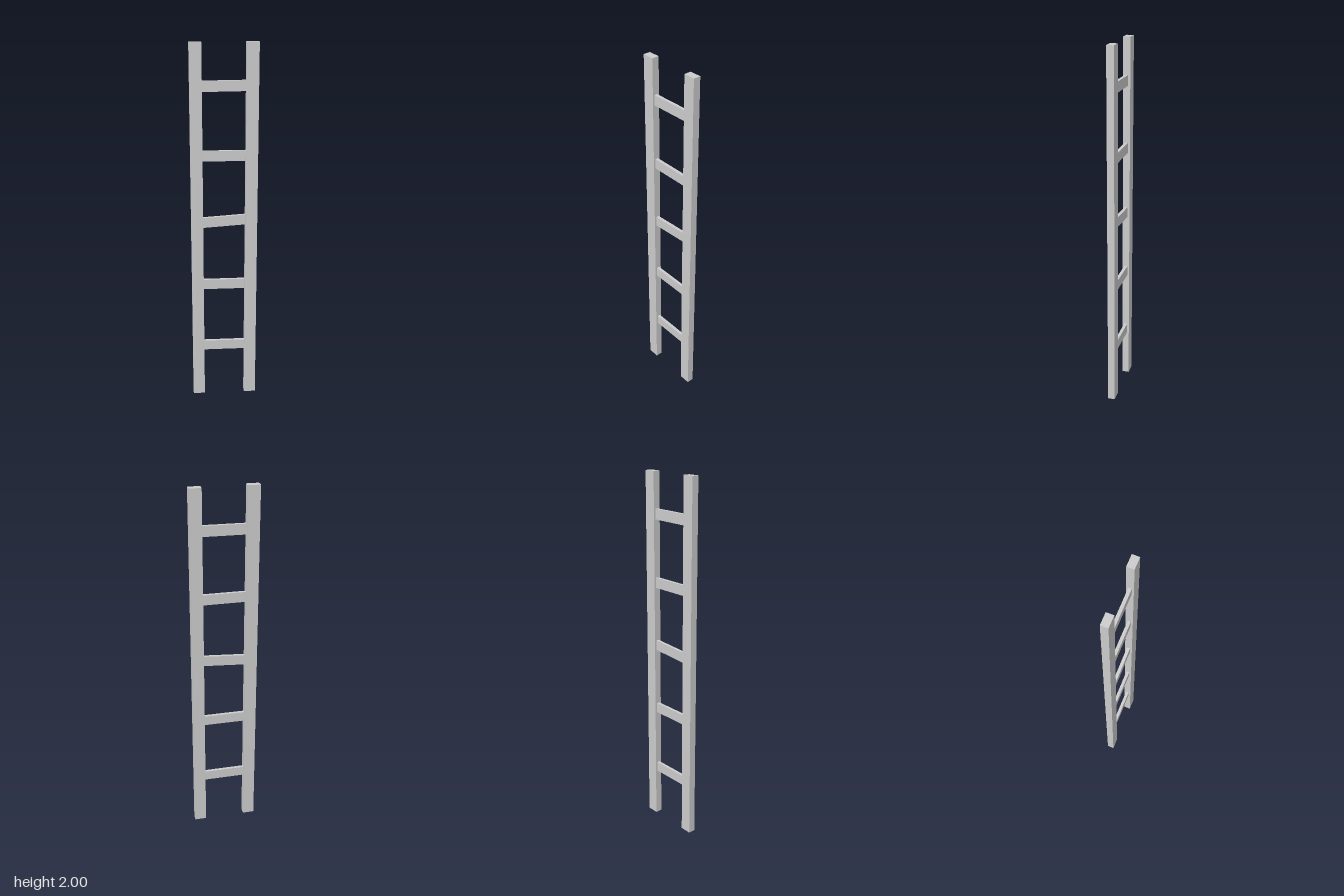
import * as THREE from 'three';

export function createModel() {
  const model = new THREE.Group();
  const material = new THREE.MeshStandardMaterial({ color: 0xcccccc, flatShading: true });

  const addBoard = (name, w, h, d, x, y, z) => {
    const mesh = new THREE.Mesh(new THREE.BoxGeometry(w, h, d), material);
    mesh.name = name;
    mesh.position.set(x, y, z);
    model.add(mesh);
    return mesh;
  };

  // Upright rails, leaning very slightly out of true
  for (const [name, x] of [['rightRail', -0.148], ['leftRail', 0.146]]) {
    const rail = addBoard(name, 0.065, 2, 0.039, x, 1, -0.001);
    const pos = rail.geometry.attributes.position;
    for (let i = 0; i < pos.count; i++) {
      pos.setX(i, pos.getX(i) - 0.0005 * pos.getY(i));
      pos.setZ(i, pos.getZ(i) - 0.001 * pos.getY(i));
    }
    rail.geometry.computeVertexNormals();
  }

  // Rungs as [height, tilt]; the middle one sits crooked
  const rungs = [[0.305, 0], [0.682, 0], [1.051, 0.065], [1.413, 0], [1.779, 0.01]];
  rungs.forEach(([y, tilt], i) => {
    const rung = addBoard(`rung${i + 1}`, 0.24, 0.056, 0.017, 0, y, -0.001);
    rung.rotation.z = tilt;
  });

  return model;
}
